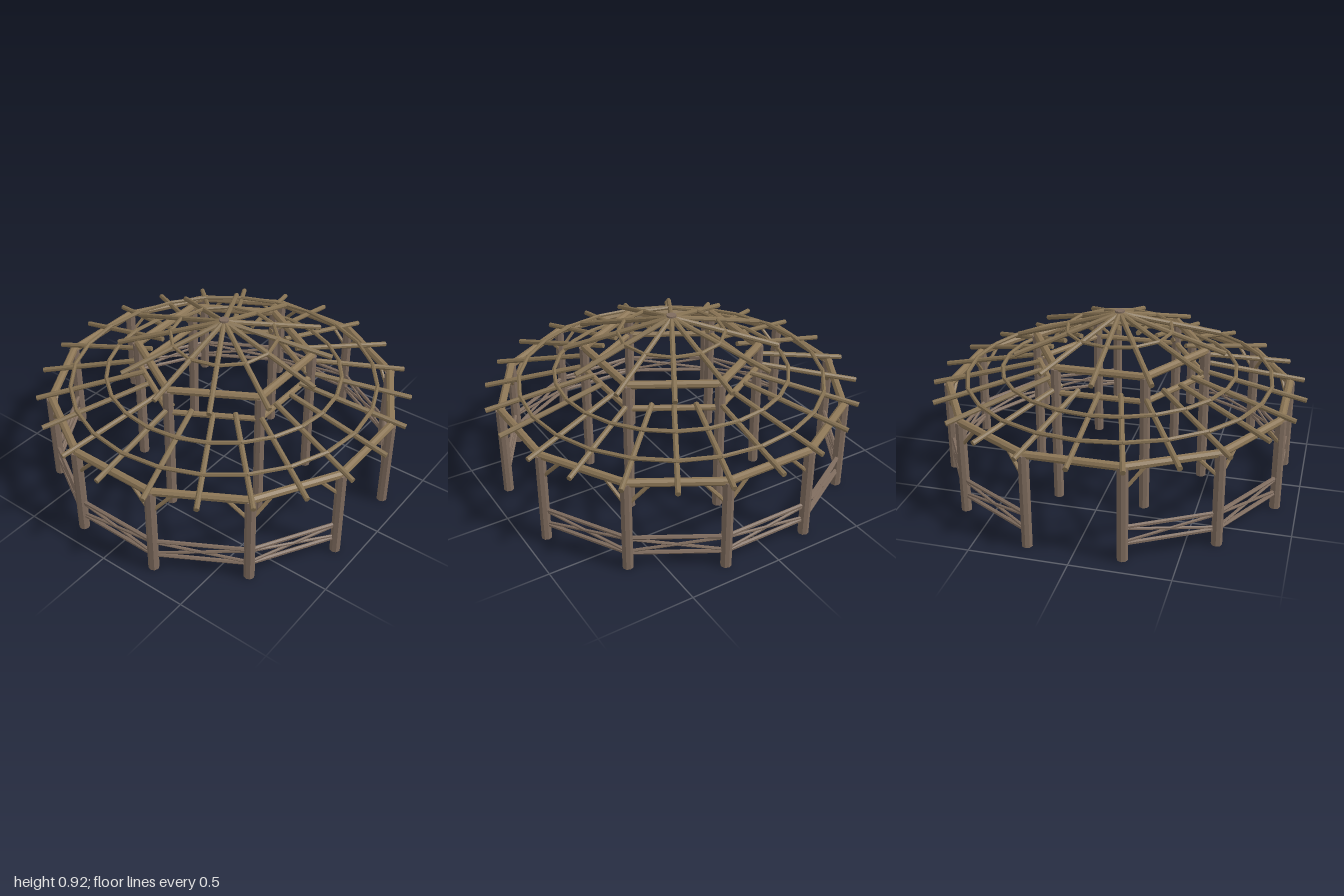
import * as THREE from 'three';

const wood = (name, color) => {
  const m = new THREE.MeshStandardMaterial({ color, flatShading: true });
  m.name = name;
  return m;
};

export function createModel() {
  const model = new THREE.Group();
  model.name = 'pavilionFrame';
  const postWood = wood('postWood', 0x7f6c5e);
  const beamWood = wood('beamWood', 0x8c7656);
  const rafterWood = wood('rafterWood', 0x857152);

  // Point on a circle around the middle; angle in degrees
  const polar = (r, deg, y) => {
    const a = THREE.MathUtils.degToRad(deg);
    return new THREE.Vector3(r * Math.cos(a), y, r * Math.sin(a));
  };

  // Log running from a to b
  const up = new THREE.Vector3(0, 1, 0);
  function log(name, a, b, radius, sides, material, parent) {
    const d = b.clone().sub(a);
    const mesh = new THREE.Mesh(new THREE.CylinderGeometry(radius, radius, d.length(), sides), material);
    mesh.position.copy(a).add(b).multiplyScalar(0.5);
    mesh.quaternion.setFromUnitVectors(up, d.normalize());
    mesh.name = name;
    parent.add(mesh);
  }

  function group(name) {
    const g = new THREE.Group();
    g.name = name;
    model.add(g);
    return g;
  }

  // Closed polygon of logs
  function ring(name, r, y, count, start, radius, sides, material) {
    const g = group(name + 's');
    for (let i = 0; i < count; i++) {
      const step = 360 / count;
      log(name, polar(r, start + i * step, y), polar(r, start + (i + 1) * step, y), radius, sides, material, g);
    }
  }

  // Posts: twelve outside, six inside
  const outerPosts = group('outerPosts');
  for (let i = 0; i < 12; i++) {
    log('outerPost', polar(0.92, 15 + i * 30, 0), polar(0.92, 15 + i * 30, 0.5), 0.028, 8, postWood, outerPosts);
  }
  const innerPosts = group('innerPosts');
  for (let i = 0; i < 6; i++) {
    log('innerPost', polar(0.46, i * 60, 0), polar(0.46, i * 60, 0.73), 0.027, 8, postWood, innerPosts);
  }

  // Plates on top of the posts, and the ledger carrying the lower rafters
  ring('outerBeam', 0.92, 0.5, 12, 15, 0.021, 8, beamWood);
  ring('innerBeam', 0.46, 0.733, 6, 0, 0.021, 8, beamWood);
  ring('innerLedger', 0.46, 0.598, 6, 0, 0.016, 8, beamWood);

  // Railings and knee braces in every bay but the two entrances
  const railings = group('railings');
  const braces = group('kneeBraces');
  for (let i = 0; i < 12; i++) {
    const a0 = 15 + i * 30;
    if (a0 === 75 || a0 === 255) continue;
    const at = (t, y) => polar(0.92, a0, y).lerp(polar(0.92, a0 + 30, y), t);
    log('lowerRail', at(0, 0.086), at(1, 0.086), 0.011, 6, postWood, railings);
    log('upperRail', at(0, 0.177), at(1, 0.177), 0.011, 6, postWood, railings);
    log('crossBrace', at(0.04, 0.098), at(0.96, 0.166), 0.008, 6, postWood, railings);
    log('crossBrace', at(0.04, 0.166), at(0.96, 0.098), 0.008, 6, postWood, railings);
    log('kneeBrace', at(0.04, 0.39), at(0.23, 0.487), 0.01, 6, beamWood, braces);
    log('kneeBrace', at(0.96, 0.39), at(0.77, 0.487), 0.01, 6, beamWood, braces);
  }

  // Lower roof: twenty-four rafters and two purlin rings
  const lowerRafters = group('lowerRafters');
  for (let i = 0; i < 24; i++) {
    log('lowerRafter', polar(0.997, i * 15, 0.511), polar(0.425, i * 15, 0.628), 0.014, 8, rafterWood, lowerRafters);
  }
  ring('outerPurlin', 0.815, 0.567, 24, 0, 0.011, 6, rafterWood);
  ring('innerPurlin', 0.625, 0.605, 24, 0, 0.011, 6, rafterWood);

  // Upper roof: twelve rafters meeting at a hub, with one purlin ring
  const upperRafters = group('upperRafters');
  for (let i = 0; i < 12; i++) {
    log('upperRafter', polar(0.565, i * 30, 0.73), polar(0.005, i * 30, 0.9), 0.014, 8, rafterWood, upperRafters);
  }
  ring('upperPurlin', 0.283, 0.82, 12, 0, 0.01, 6, rafterWood);
  log('roofHub', new THREE.Vector3(0, 0.865, 0), new THREE.Vector3(0, 0.917, 0), 0.026, 10, postWood, model);

  return model;
}
